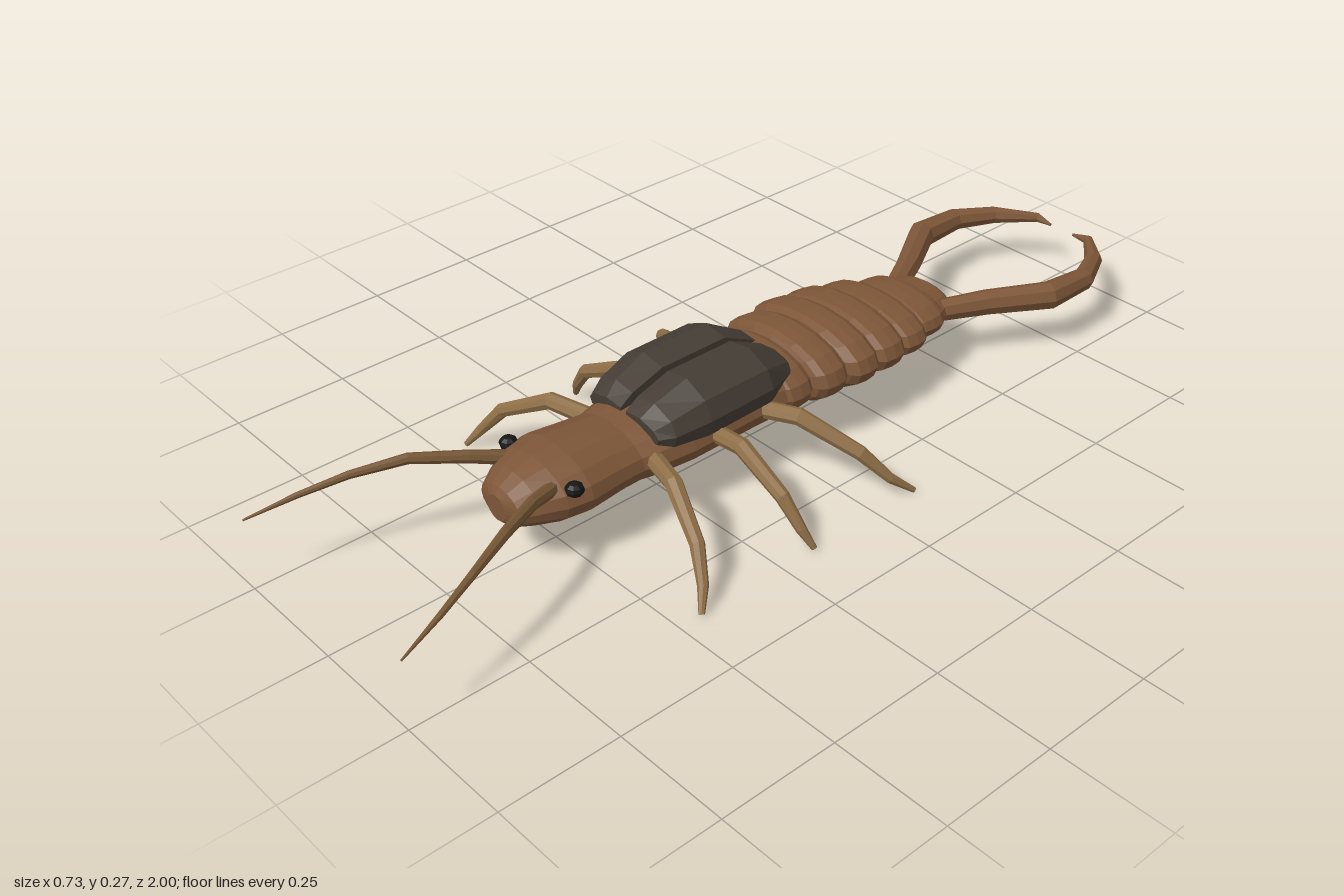
import * as THREE from 'three';

const material = (color) => new THREE.MeshStandardMaterial({ color, flatShading: true, side: THREE.DoubleSide });
const V = (x, y, z) => new THREE.Vector3(x, y, z);

// Skins a list of closed rings (counter-clockwise seen from the direction of travel) and caps both ends
function skin(rings) {
  const n = rings[0].length, last = rings.length - 1;
  const points = rings.flat(), index = [];
  const centre = (ring) => ring.reduce((s, p) => s.add(p), V(0, 0, 0)).divideScalar(n);
  points.push(centre(rings[0]), centre(rings[last]));
  for (let j = 0; j < n; j++) {
    const k = (j + 1) % n;
    for (let i = 0; i < last; i++) {
      const a = i * n + j, b = i * n + k;
      index.push(a, b, b + n, a, b + n, a + n);
    }
    index.push(points.length - 2, k, j, points.length - 1, last * n + j, last * n + k);
  }
  const indexed = new THREE.BufferGeometry().setFromPoints(points);
  indexed.setIndex(index);
  const geometry = indexed.toNonIndexed();
  geometry.computeVertexNormals();
  return geometry;
}

// Elliptical sections along z: [z, half width, bottom, top]
function bodyLoft(sections, sides = 16) {
  return skin(sections.map(([z, w, low, high]) =>
    Array.from({ length: sides }, (_, j) => {
      const a = (j / sides) * Math.PI * 2;
      return V(w * Math.cos(a), (low + high) / 2 + (high - low) / 2 * Math.sin(a), z);
    })));
}

// Tapered limb through [x, y, z, radius] stations
function limb(stations, sides = 8) {
  const p = stations.map(([x, y, z]) => V(x, y, z));
  return skin(p.map((c, i) => {
    const t = p[Math.min(i + 1, p.length - 1)].clone().sub(p[Math.max(i - 1, 0)]).normalize();
    const u = V(0, 1, 0).cross(t).normalize(), v = t.clone().cross(u);
    return Array.from({ length: sides }, (_, j) => {
      const a = (j / sides) * Math.PI * 2, r = stations[i][3];
      return c.clone().addScaledVector(u, r * Math.cos(a)).addScaledVector(v, r * Math.sin(a));
    });
  }));
}

export function createModel() {
  const model = new THREE.Group();
  const brown = material(0x7d5638), tan = material(0x8f6f47), feeler = material(0x755635);
  const dark = material(0x453d35), black = material(0x151515);
  const add = (name, geometry, mat) => {
    const mesh = new THREE.Mesh(geometry, mat);
    mesh.name = name;
    model.add(mesh);
    return mesh;
  };

  // Head, neck and thorax in one run
  add('headAndThorax', bodyLoft([
    [-0.03, 0.13, 0.085, 0.215], [0.1, 0.125, 0.08, 0.215], [0.25, 0.125, 0.08, 0.21],
    [0.32, 0.115, 0.08, 0.205], [0.36, 0.104, 0.082, 0.2], [0.41, 0.107, 0.082, 0.205],
    [0.49, 0.116, 0.078, 0.212], [0.54, 0.105, 0.08, 0.206], [0.585, 0.08, 0.086, 0.193],
    [0.617, 0.06, 0.095, 0.174], [0.627, 0.027, 0.105, 0.159],
  ]), brown);

  // Ringed abdomen: [front z, back z, half width, bottom, top]
  const segments = [
    [0.02, -0.055, 0.138, 0.085, 0.215], [-0.06, -0.138, 0.155, 0.082, 0.223],
    [-0.142, -0.218, 0.165, 0.082, 0.224], [-0.222, -0.3, 0.16, 0.082, 0.216],
    [-0.306, -0.38, 0.146, 0.083, 0.2], [-0.386, -0.465, 0.117, 0.084, 0.183],
  ];
  const rings = [[-0.525, 0.07, 0.095, 0.158], [-0.515, 0.078, 0.09, 0.165], [-0.475, 0.098, 0.087, 0.17]];
  for (const [front, back, w, low, high] of segments.reverse()) {
    const length = front - back;
    for (const [s, k] of [[0, 0.9], [0.18, 0.98], [0.5, 1], [0.82, 0.98], [1, 0.9]]) {
      const inset = (1 - k) * (high - low) / 2;
      rings.push([back + s * length, w * k, low + inset, high - inset]);
    }
  }
  add('abdomen', bodyLoft(rings), brown);

  // Wing case sections: [z, outer half width, bottom, top]
  const wingSections = [
    [-0.035, 0.08, 0.185, 0.205], [-0.02, 0.1, 0.175, 0.222], [0.06, 0.134, 0.17, 0.265],
    [0.22, 0.134, 0.166, 0.265], [0.295, 0.12, 0.168, 0.238], [0.325, 0.102, 0.178, 0.214],
  ];
  const wingProfile = [[0, 0], [0.94, 0], [1, 0.35], [0.86, 0.74], [0.44, 1], [0, 0.9]];
  const legs = [
    ['frontLeg', [0.33, 0.36, 0.4, 0.425, 0.45]],
    ['middleLeg', [0.19, 0.19, 0.188, 0.18, 0.168]],
    ['rearLeg', [0.075, 0.04, -0.02, -0.06, -0.105]],
  ];

  for (const [side, s] of [['left', 1], ['right', -1]]) {
    const mirrored = (stations) => limb(stations.map(([x, ...rest]) => [s * x, ...rest]));

    const wingRings = wingSections.map(([z, w, low, high]) => {
      const ring = wingProfile.map(([x, y]) => V(s * (0.008 + x * (w - 0.008)), low + y * (high - low), z));
      return s > 0 ? ring : ring.reverse();
    });
    add(side + 'WingCase', skin(wingRings), dark);

    // Pincer curving inward to a point
    add(side + 'Pincer', mirrored([
      [0.06, 0.128, -0.48, 0.024], [0.115, 0.131, -0.59, 0.028], [0.188, 0.132, -0.71, 0.031],
      [0.19, 0.129, -0.825, 0.025], [0.147, 0.125, -0.915, 0.02], [0.075, 0.12, -0.988, 0.011],
      [0.033, 0.118, -0.985, 0.003],
    ]), brown);

    // Three legs sharing one outline, spread fore and aft
    for (const [name, z] of legs) {
      add(side + name[0].toUpperCase() + name.slice(1), mirrored([
        [0.09, 0.148, z[0], 0.019], [0.185, 0.156, z[1], 0.018], [0.295, 0.098, z[2], 0.015],
        [0.338, 0.042, z[3], 0.011], [0.362, 0.004, z[4], 0.006],
      ]), tan);
    }

    add(side + 'Antenna', mirrored([
      [0.068, 0.173, 0.55, 0.015], [0.098, 0.19, 0.615, 0.013], [0.15, 0.204, 0.71, 0.011],
      [0.193, 0.193, 0.81, 0.008], [0.225, 0.175, 0.9, 0.006], [0.253, 0.153, 0.998, 0.002],
    ]), feeler);

    const eye = add(side + 'Eye', new THREE.SphereGeometry(0.019, 8, 6), black);
    eye.position.set(s * 0.1, 0.176, 0.522);
    eye.scale.set(1, 0.8, 1);
  }
  return model;
}
